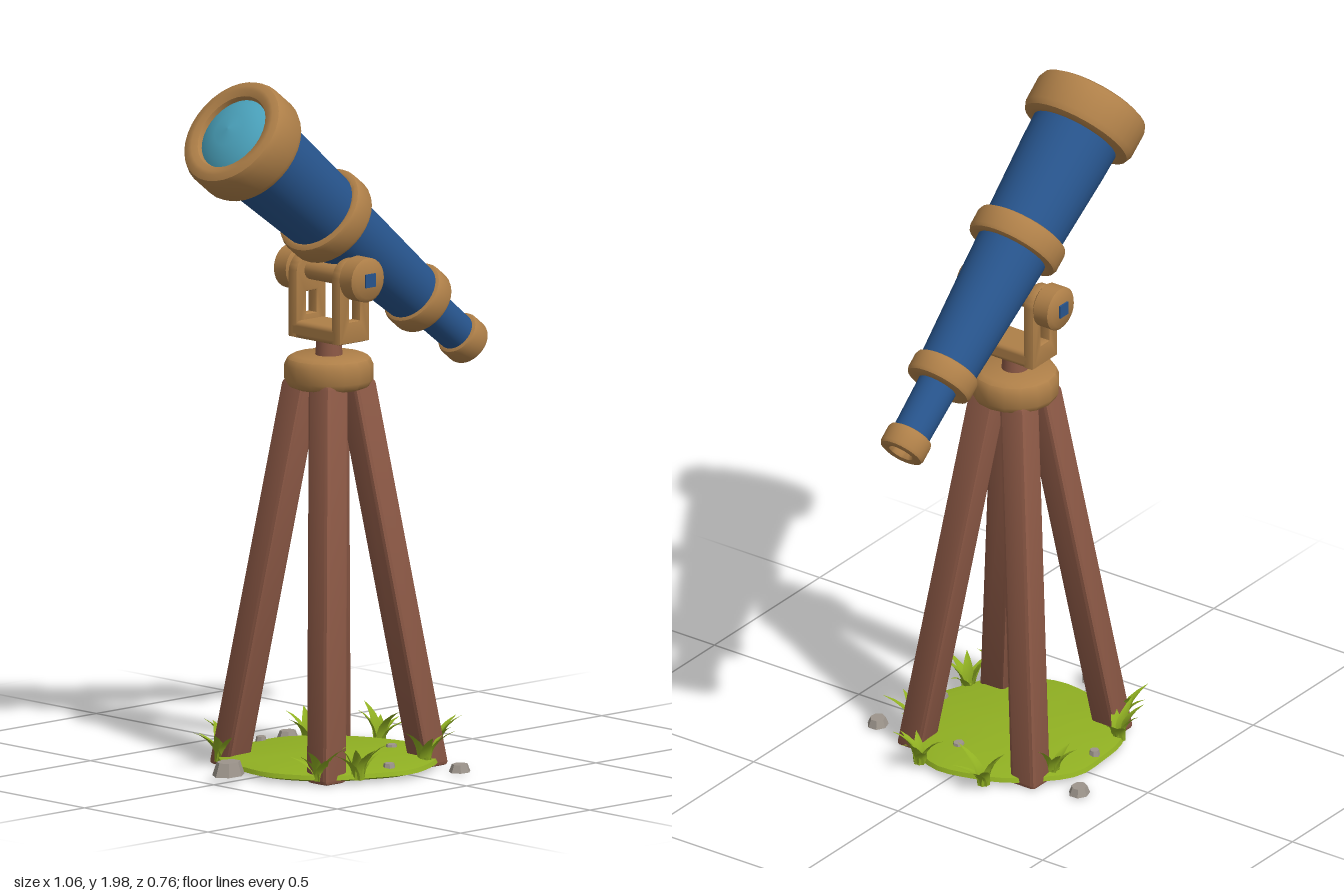
import * as THREE from 'three';
import { mergeGeometries, toCreasedNormals } from 'three/addons/utils/BufferGeometryUtils.js';
import { RoundedBoxGeometry } from 'three/addons/geometries/RoundedBoxGeometry.js';

const mat = (name, color, side = THREE.FrontSide) => {
  const m = new THREE.MeshStandardMaterial({ color, side });
  m.name = name;
  return m;
};

export function createModel() {
  const blue = mat('blue paint', 0x27548c);
  const brass = mat('tan wood', 0xae7f48);
  const wood = mat('brown wood', 0x8b5845);
  const grass = mat('grass green', 0x90b022, THREE.DoubleSide);
  const glass = mat('teal glass', 0x4ba3bd);
  const stone = mat('grey stone', 0x9c948b);

  const model = new THREE.Group();
  model.name = 'telescope';
  const CX = -0.055; // centre line of the tripod

  let seed = 7;
  const rand = () => (seed = (seed * 16807) % 2147483647) / 2147483647;

  const add = (parent, name, geo, material, x = 0, y = 0, z = 0) => {
    const m = new THREE.Mesh(geo, material);
    m.name = name;
    m.position.set(x, y, z);
    parent.add(m);
    return m;
  };
  const lathe = (pts, seg = 32) =>
    new THREE.LatheGeometry(pts.map(([r, y]) => new THREE.Vector2(r, y)), seg);
  const smooth = (geo, angle = 0.7) => toCreasedNormals(geo, angle);

  // Closed band of revolution with rounded edges
  const band = (rIn, rOut, y0, y1, b) => smooth(lathe([
    [rIn, y0 + b], [rIn + b * 0.3, y0 + b * 0.3], [rIn + b, y0],
    [rOut - b, y0], [rOut - b * 0.3, y0 + b * 0.3], [rOut, y0 + b],
    [rOut, y1 - b], [rOut - b * 0.3, y1 - b * 0.3], [rOut - b, y1],
    [rIn + b, y1], [rIn + b * 0.3, y1 - b * 0.3], [rIn, y1 - b], [rIn, y0 + b],
  ]));

  // Optical tube: local y runs from the big lens to the eyepiece
  const scope = new THREE.Group();
  scope.name = 'opticalTube';
  scope.position.set(-0.437, 1.86, 0);
  scope.rotation.z = -2.238;
  model.add(scope);
  add(scope, 'frontTube', lathe([[0.13, 0.08], [0.127, 0.2], [0.114, 0.47]]), blue);
  add(scope, 'middleTube', lathe([[0.107, 0.47], [0.101, 0.6], [0.083, 0.92]]), blue);
  add(scope, 'eyepieceTube', lathe([[0.058, 0.92], [0.054, 1.14]]), blue);
  add(scope, 'lensRing', band(0.108, 0.168, 0, 0.125, 0.024), brass);
  add(scope, 'middleRing', band(0.1, 0.137, 0.433, 0.51, 0.014), brass);
  add(scope, 'rearRing', band(0.05, 0.098, 0.888, 0.958, 0.014), brass);
  add(scope, 'eyepieceRing', band(0.034, 0.067, 1.112, 1.18, 0.012), brass);
  add(scope, 'lens', lathe([[0, -0.012], [0.05, -0.006], [0.09, 0.006], [0.118, 0.025]]), glass);
  add(scope, 'eyepieceLens', lathe([[0.045, 1.155], [0.02, 1.16], [0, 1.161]], 20), stone);

  // Yoke: slotted arms, base plate, pivot knobs and bolts
  const yoke = new THREE.Group();
  yoke.name = 'yoke';
  yoke.position.x = CX;
  model.add(yoke);
  const arm = new THREE.Shape();
  arm.moveTo(-0.052, 1.225);
  arm.lineTo(0.052, 1.225);
  arm.lineTo(0.052, 1.4);
  arm.absarc(0, 1.4, 0.052, 0, Math.PI);
  arm.closePath();
  const slot = new THREE.Path();
  slot.moveTo(-0.025, 1.275);
  slot.lineTo(-0.025, 1.35);
  slot.lineTo(0.025, 1.35);
  slot.lineTo(0.025, 1.275);
  slot.closePath();
  arm.holes.push(slot);
  const armGeo = smooth(new THREE.ExtrudeGeometry(arm, {
    depth: 0.024, bevelThickness: 0.006, bevelSize: 0.006, bevelSegments: 2,
  }));
  for (const s of [1, -1]) {
    add(yoke, 'yokeArm', armGeo, brass, 0, 0, s * 0.088 - 0.012);
    const knob = add(yoke, 'pivotKnob', smooth(lathe([
      [0, -0.033], [0.052, -0.033], [0.063, -0.024],
      [0.063, 0.024], [0.052, 0.033], [0, 0.033],
    ], 24)), brass, 0, 1.405, s * 0.133);
    knob.rotation.x = Math.PI / 2;
    add(yoke, 'pivotBolt', new THREE.BoxGeometry(0.038, 0.038, 0.008), blue, 0, 1.405, s * 0.167);
  }
  add(yoke, 'yokeBase', new RoundedBoxGeometry(0.116, 0.05, 0.2, 2, 0.014), brass, 0, 1.24, 0);
  const axle = add(yoke, 'axle', new THREE.CylinderGeometry(0.028, 0.028, 0.2, 16), brass, 0, 1.405, 0);
  axle.rotation.x = Math.PI / 2;
  add(yoke, 'neck', new THREE.CylinderGeometry(0.034, 0.04, 0.08, 16), wood, 0, 1.19, 0);

  // Tripod head
  const head = lathe([
    [0, 1.08], [0.1, 1.08], [0.117, 1.088], [0.125, 1.104],
    [0.125, 1.146], [0.117, 1.164], [0.1, 1.173], [0, 1.173],
  ], 16);
  add(model, 'tripodHead', smooth(head), brass, CX);

  // Square legs, sheared outwards to the feet
  for (const sx of [1, -1]) for (const sz of [1, -1]) {
    const g = new RoundedBoxGeometry(0.084, 1.1, 0.084, 1, 0.012);
    const p = g.attributes.position;
    for (let i = 0; i < p.count; i++) {
      const off = 0.125 - p.getY(i) * 0.132;
      p.setX(i, p.getX(i) + sx * off);
      p.setZ(i, p.getZ(i) + sz * off);
    }
    add(model, 'leg', smooth(g, 0.5), wood, CX, 0.555, 0);
  }

  // Turf disc with a wavy rim
  const turf = lathe([[0, 0.008], [0.27, 0.008], [0.305, 0.018], [0.3, 0.03], [0.26, 0.038], [0, 0.044]], 48);
  const tp = turf.attributes.position;
  for (let i = 0; i < tp.count; i++) {
    const a = Math.atan2(tp.getZ(i), tp.getX(i));
    const k = 1.01 + 0.02 * Math.sin(5 * a + 1) + 0.012 * Math.sin(9 * a);
    tp.setX(i, tp.getX(i) * k);
    tp.setZ(i, tp.getZ(i) * k);
  }
  add(model, 'turf', smooth(turf, 0.9), grass, CX);

  // Grass blades: tapered strips that bend outwards
  const blade = (x, z, angle, h, reach, w) => {
    const g = new THREE.PlaneGeometry(1, 1, 2, 5);
    const p = g.attributes.position;
    for (let i = 0; i < p.count; i++) {
      const t = p.getY(i) + 0.5, u = p.getX(i);
      const width = w * (1 - t) * (1 + 1.2 * t);
      p.setXYZ(i, u * width, h * (1.35 * t - 0.35 * t * t), reach * t * t - Math.abs(u) * width * 0.5);
    }
    g.computeVertexNormals();
    return g.rotateY(angle).translate(x, 0.015, z);
  };
  const tufts = [[-0.28, 0.2, 6], [-0.19, 0.26, 6], [0.09, 0.235, 5], [0.245, 0.11, 6]];
  for (const s of [1, -1]) for (const [x, z, n] of tufts) {
    const out = Math.atan2(x - CX, s * z);
    const blades = [];
    for (let i = 0; i < n; i++) {
      const a = out + (i / (n - 1) - 0.5) * 4;
      blades.push(blade(x + 0.015 * Math.sin(a), s * z + 0.015 * Math.cos(a), a,
        0.06 + 0.05 * rand(), 0.04 + 0.045 * rand(), 0.036));
    }
    add(model, 'grassTuft', mergeGeometries(blades), grass);
  }

  // Chipped stones: x, y, z, length, height, width
  const stones = [
    [0.12, 0.02, 0.347, 0.07, 0.022, 0.06], [0.12, 0.02, -0.35, 0.07, 0.022, 0.06],
    [-0.443, 0.045, 0, 0.115, 0.038, 0.085],
    [-0.075, 0.036, 0.265, 0.045, 0.024, 0.04], [-0.055, 0.036, -0.275, 0.04, 0.024, 0.035],
    [0.13, 0.036, 0.06, 0.045, 0.022, 0.04],
  ];
  for (const [x, y, z, l, h, w] of stones) {
    const g = new THREE.CylinderGeometry(0.36, 0.5, 1, 7).toNonIndexed();
    g.scale(l, h, w);
    g.computeVertexNormals();
    add(model, 'stone', g, stone, x, y, z).rotation.y = 0.3;
  }
  return model;
}
